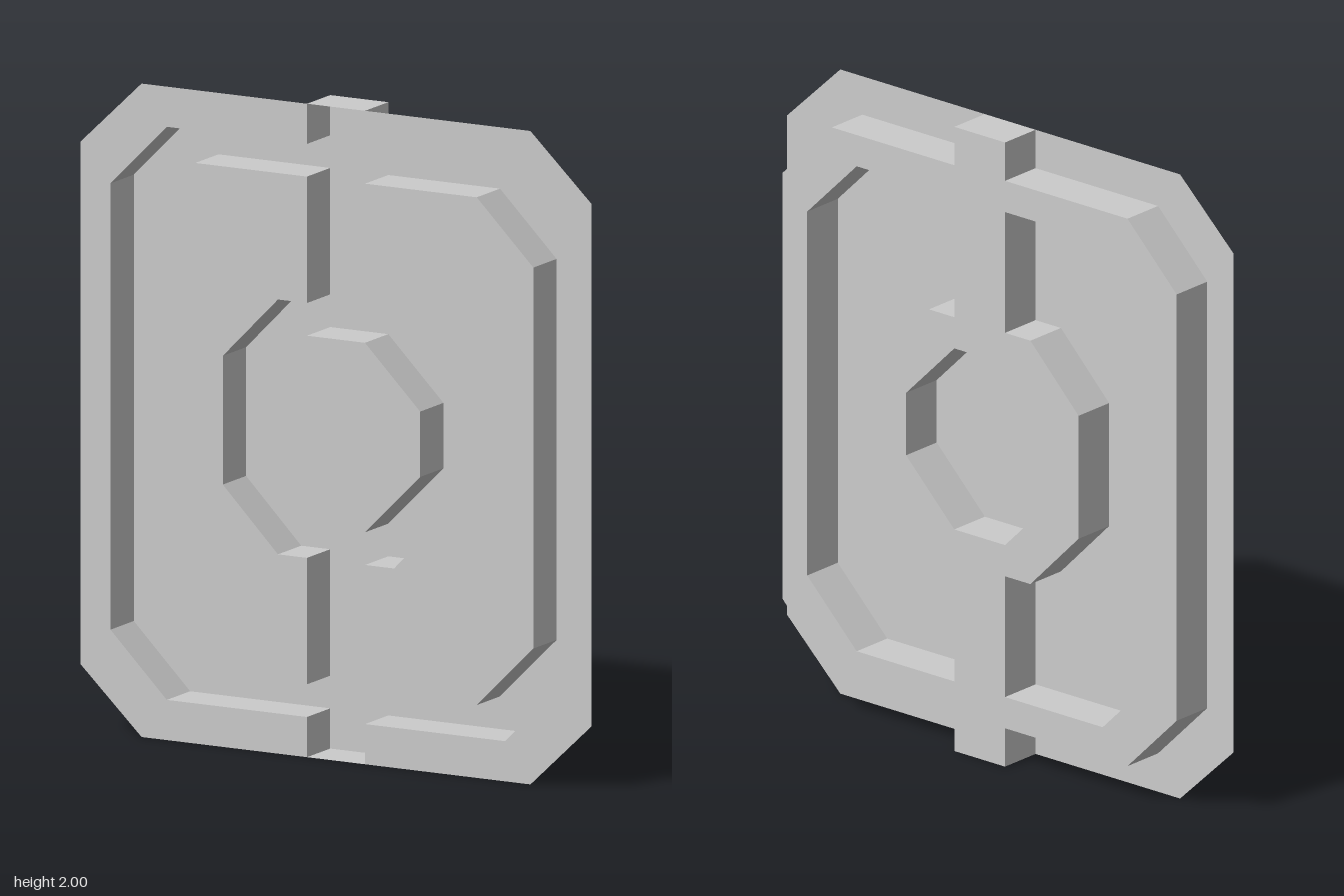
import * as THREE from 'three';

const DEPTH = 0.07; // half depth of the pressed channel

// Mirror points of a quadrant (ordered top to side) down across y = 0
const mirrorY = (pts) => [...pts, ...pts.map(([x, y]) => [x, -y]).reverse()];
const mirrorX = (pts) => pts.map(([x, y]) => [-x, y]).reverse();
const toShape = (pts) => new THREE.Shape(pts.map(([x, y]) => new THREE.Vector2(x, y)));

// Right-hand halves of the outlines, running top to bottom
const rim = mirrorY([[0.1, 1], [0.67, 1], [0.88, 0.8]]);
const channelEdge = mirrorY([[0.1, 1], [0.1, 0.877], [0.583, 0.877], [0.777, 0.683]]);
const panelOuter = mirrorY([[0.1, 0.777], [0.485, 0.777], [0.68, 0.583]]);
const panelInner = mirrorY([[0.1, 0.39], [0.2, 0.39], [0.39, 0.197]]);
const hubHalf = mirrorY([[0.1, 0.29], [0.29, 0.1]]);

// Closed loops
const margin = [...rim, ...channelEdge.slice(1, -1).reverse()];
const panel = [...panelOuter, ...[...panelInner].reverse()];
const channel = [...channelEdge, ...mirrorX(channelEdge)];
const hub = [...hubHalf, ...mirrorX(hubHalf)];

// Flat-shaded wall joining the front and back levels along a closed loop
function wallGeometry(loop) {
  const pos = [];
  loop.forEach(([ax, ay], i) => {
    const [bx, by] = loop[(i + 1) % loop.length];
    pos.push(ax, ay, DEPTH, bx, by, DEPTH, bx, by, -DEPTH);
    pos.push(ax, ay, DEPTH, bx, by, -DEPTH, ax, ay, -DEPTH);
  });
  const geo = new THREE.BufferGeometry();
  geo.setAttribute('position', new THREE.Float32BufferAttribute(pos, 3));
  geo.computeVertexNormals();
  return geo;
}

export function createModel() {
  const group = new THREE.Group();
  group.name = 'pressedPanel';
  const material = new THREE.MeshStandardMaterial({
    color: 0xcccccc, side: THREE.DoubleSide, flatShading: true,
  });
  const add = (name, geometry, z = 0) => {
    const mesh = new THREE.Mesh(geometry, material);
    mesh.name = name;
    mesh.position.set(0, 1, z);
    group.add(mesh);
  };

  // Front level: outer margins, inner panels and the central octagon
  for (const [side, flip] of [['left', (p) => p], ['right', mirrorX]]) {
    add(side + 'Margin', new THREE.ShapeGeometry(toShape(flip(margin))), DEPTH);
    add(side + 'Panel', new THREE.ShapeGeometry(toShape(flip(panel))), DEPTH);
    add(side + 'PanelWall', wallGeometry(flip(panel)));
  }
  add('hubFace', new THREE.ShapeGeometry(toShape(hub)), DEPTH);
  add('hubWall', wallGeometry(hub));

  // Back level: floor of the channel forming the frame, bar and ring
  const floor = toShape(channel);
  floor.holes = [panel, mirrorX(panel), hub].map(toShape);
  add('channelFloor', new THREE.ShapeGeometry(floor), -DEPTH);
  add('channelWall', wallGeometry(channel));

  return group;
}
